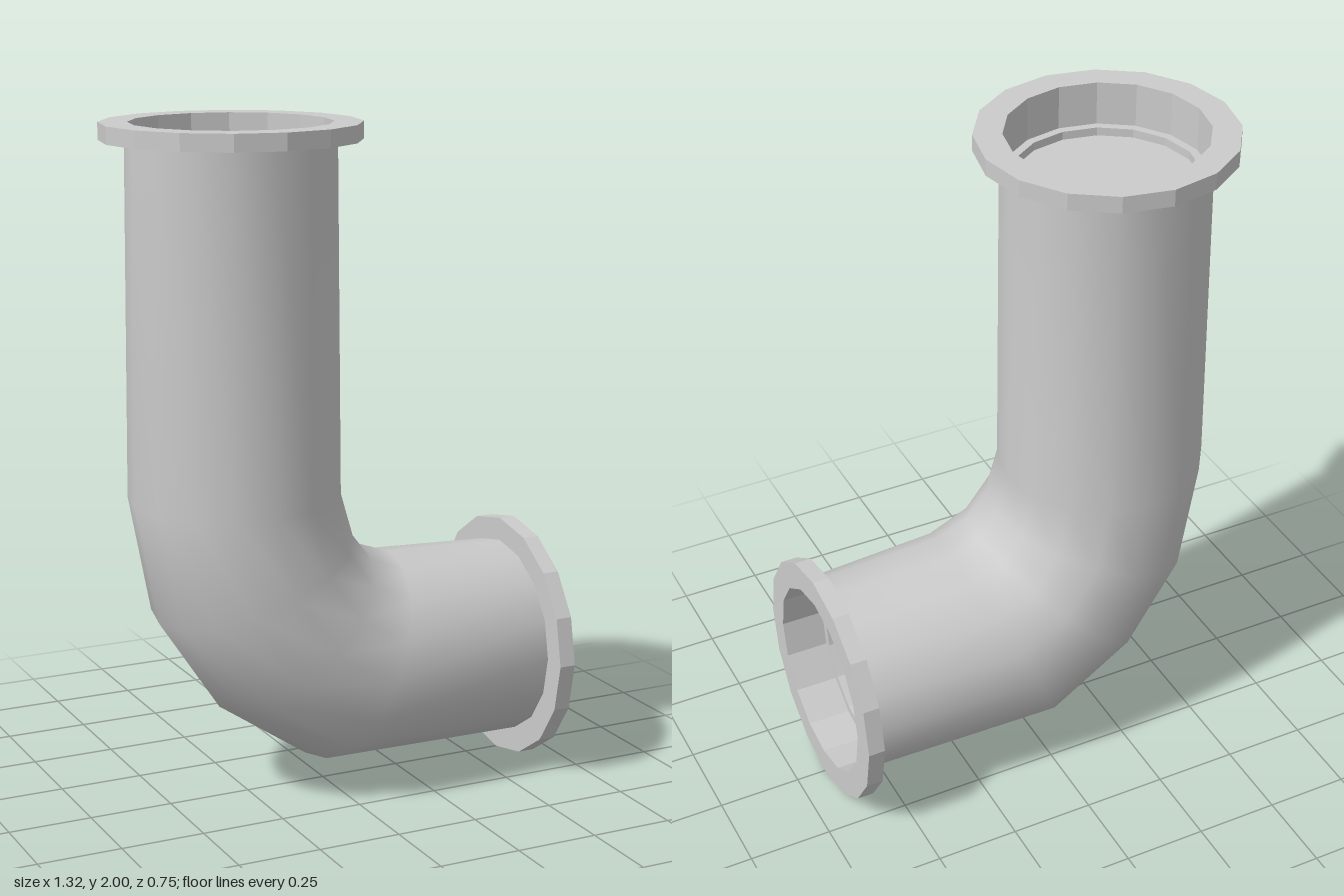
import * as THREE from 'three';

const SIDES = 16;
const material = new THREE.MeshStandardMaterial({ color: 0xcccccc });
const flatMaterial = new THREE.MeshStandardMaterial({ color: 0xcccccc, flatShading: true });

// Cross-sections along the bend: outer x, y, inner x, y, half depth in z
const SECTIONS = [
  [-0.585, 1.96, 0.015, 1.96, 0.3],
  [-0.595, 0.92, 0.025, 0.92, 0.308],
  [-0.525, 0.56, 0.06, 0.8, 0.322],
  [-0.34, 0.28, 0.12, 0.725, 0.329],
  [-0.06, 0.09, 0.22, 0.69, 0.331],
  [0.62, 0.08, 0.62, 0.677, 0.3],
];

// Elliptical rings joined into a smooth tube
function pipeGeometry() {
  const positions = [];
  const index = [];
  SECTIONS.forEach(([ox, oy, ix, iy, depth], i) => {
    for (let j = 0; j < SIDES; j++) {
      const a = (j / SIDES) * Math.PI * 2;
      const t = (1 + Math.cos(a)) / 2;
      positions.push(ox + (ix - ox) * t, oy + (iy - oy) * t, Math.sin(a) * depth);
      if (i === SECTIONS.length - 1) continue;
      const p = i * SIDES + j;
      const q = i * SIDES + ((j + 1) % SIDES);
      index.push(p, q, p + SIDES, q, q + SIDES, p + SIDES);
    }
  });
  const geometry = new THREE.BufferGeometry();
  geometry.setAttribute('position', new THREE.Float32BufferAttribute(positions, 3));
  geometry.setIndex(index);
  geometry.computeVertexNormals();
  return geometry;
}

// Collar with a stepped, closed socket
function flangeGeometry() {
  const profile = [
    [0.28, 0], [0.373, 0], [0.373, 0.05], [0.29, 0.05],
    [0.29, -0.08], [0.265, -0.08], [0.265, -0.105], [0, -0.105],
  ];
  return new THREE.LatheGeometry(profile.map(([x, y]) => new THREE.Vector2(x, y)), SIDES);
}

export function createModel() {
  const group = new THREE.Group();
  group.name = 'pipeElbow';

  const pipe = new THREE.Mesh(pipeGeometry(), material);
  pipe.name = 'pipe';

  const topFlange = new THREE.Mesh(flangeGeometry(), flatMaterial);
  topFlange.name = 'topFlange';
  topFlange.position.set(-0.285, 1.95, 0);

  const sideFlange = new THREE.Mesh(flangeGeometry(), flatMaterial);
  sideFlange.name = 'sideFlange';
  sideFlange.position.set(0.608, 0.375, 0);
  sideFlange.rotation.z = -Math.PI / 2;

  group.add(pipe, topFlange, sideFlange);
  return group;
}
